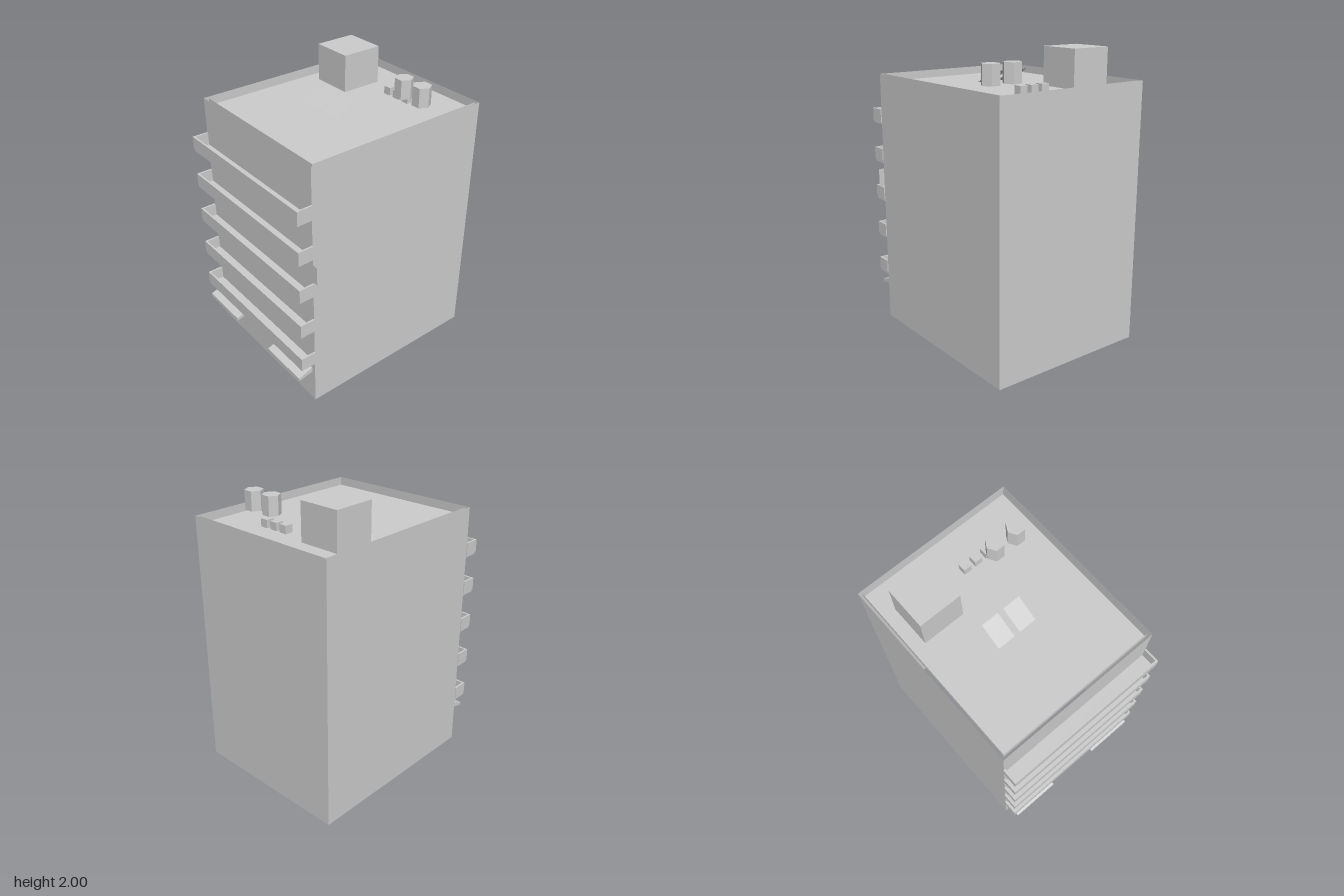
import * as THREE from 'three';

export function createModel() {
  const model = new THREE.Group();
  model.name = 'apartmentBlock';
  const concrete = new THREE.MeshStandardMaterial({ color: 0xcccccc, side: THREE.DoubleSide, flatShading: true });
  concrete.name = 'light grey';

  function add(parent, name, geometry) {
    const mesh = new THREE.Mesh(geometry, concrete);
    mesh.name = name;
    parent.add(mesh);
    return mesh;
  }
  // Box given by its lower and upper limits on each axis
  function box(parent, name, x0, x1, y0, y1, z0, z1) {
    const mesh = add(parent, name, new THREE.BoxGeometry(x1 - x0, y1 - y0, z1 - z0));
    mesh.position.set((x0 + x1) / 2, (y0 + y1) / 2, (z0 + z1) / 2);
    return mesh;
  }
  // Open ring of four upright walls
  function wallRing(parent, name, x0, x1, y0, y1, z0, z1, inward) {
    const corners = [[x0, z0], [x0, z1], [x1, z1], [x1, z0]];
    if (inward) corners.reverse();
    const points = [];
    corners.forEach(([ax, az], i) => {
      const [bx, bz] = corners[(i + 1) % 4];
      points.push(ax, y0, az, bx, y0, bz, bx, y1, bz, ax, y0, az, bx, y1, bz, ax, y1, az);
    });
    const g = new THREE.BufferGeometry();
    g.setAttribute('position', new THREE.Float32BufferAttribute(points, 3));
    g.computeVertexNormals();
    return add(parent, name, g);
  }

  // Body: open shell, sunken roof and the inside of the parapet
  const left = -0.595, right = 0.555, top = 1.795, roofY = 1.745, front = 0.613, back = -0.727;
  wallRing(model, 'outerWalls', left, right, 0, top, back, front, false);
  wallRing(model, 'parapetInside', -0.573, 0.535, roofY, top, -0.711, 0.589, true);
  const roof = add(model, 'roof', new THREE.PlaneGeometry(1.108, 1.3));
  roof.rotation.x = -Math.PI / 2;
  roof.position.set(-0.019, roofY, -0.061);

  // Balconies: thin slab with a solid railing on three sides
  for (let i = 0; i < 5; i++) {
    const balcony = new THREE.Group();
    balcony.name = 'balcony' + (i + 1);
    balcony.position.y = 0.331 + i * 0.279;
    model.add(balcony);
    box(balcony, 'balconySlab', left, 0.557, 0, 0.016, front, 0.718);
    box(balcony, 'frontRailing', -0.6, 0.562, 0.016, 0.102, 0.706, 0.72);
    box(balcony, 'rightRailing', -0.6, -0.586, 0.016, 0.102, front, 0.706);
    box(balcony, 'leftRailing', 0.55, 0.562, 0.016, 0.102, front, 0.706);
  }

  // Thin sign plate standing out from the front left edge
  const sign = add(model, 'signPlate', new THREE.PlaneGeometry(0.04, 0.125));
  sign.position.set(0.575, 1.067, front);

  // Awnings: sloped top, side cheeks and scalloped front edge
  const awningWidth = 0.359, zIn = 0.62, zOut = 0.728;
  const valance = new THREE.Shape();
  valance.moveTo(0, 0.25);
  valance.lineTo(0, 0.228);
  const scallops = 8, step = awningWidth / scallops;
  for (let i = 0; i < scallops; i++) {
    valance.quadraticCurveTo((i + 0.5) * step, 0.208, (i + 1) * step, 0.228);
  }
  valance.lineTo(awningWidth, 0.25);
  const cheek = new THREE.Shape([[zIn, 0.286], [zIn, 0.25], [zOut, 0.228], [zOut, 0.25]]
    .map(([z, y]) => new THREE.Vector2(-z, y)));
  for (const x of [-0.574, 0.177]) {
    const awning = new THREE.Group();
    awning.name = x < 0 ? 'rightAwning' : 'leftAwning';
    awning.position.x = x;
    model.add(awning);
    const slope = add(awning, 'awningTop', new THREE.PlaneGeometry(awningWidth, Math.hypot(zOut - zIn, 0.036)));
    slope.rotation.x = -Math.atan2(zOut - zIn, 0.036);
    slope.position.set(awningWidth / 2, 0.268, (zIn + zOut) / 2);
    add(awning, 'scallopedEdge', new THREE.ShapeGeometry(valance, 5)).position.z = zOut;
    for (const side of [0, awningWidth]) {
      const mesh = add(awning, 'awningCheek', new THREE.ShapeGeometry(cheek));
      mesh.rotation.y = Math.PI / 2;
      mesh.position.x = side;
    }
  }

  // Stair house on the roof
  box(model, 'stairHouse', -0.479, -0.19, roofY, 2, -0.522, -0.232);

  // Tilted solar panels
  for (const x of [-0.115, 0.049]) {
    const panel = add(model, 'solarPanel', new THREE.PlaneGeometry(0.123, 0.172));
    panel.rotation.x = -Math.atan2(0.15, 0.083);
    panel.position.set(x, 1.799, 0.007);
  }

  // Row of small roof vents
  for (let i = 0; i < 3; i++) {
    const x = -0.015 + i * 0.0845;
    box(model, 'roofVent', x, x + 0.055, roofY, 1.798, -0.484, -0.427);
  }

  // Six-sided tanks
  for (const x of [0.203, 0.366]) {
    const tank = add(model, 'waterTank', new THREE.CylinderGeometry(0.062, 0.062, 0.13, 6));
    tank.rotation.y = Math.PI / 6;
    tank.position.set(x, 1.871, -0.396);
  }
  return model;
}
